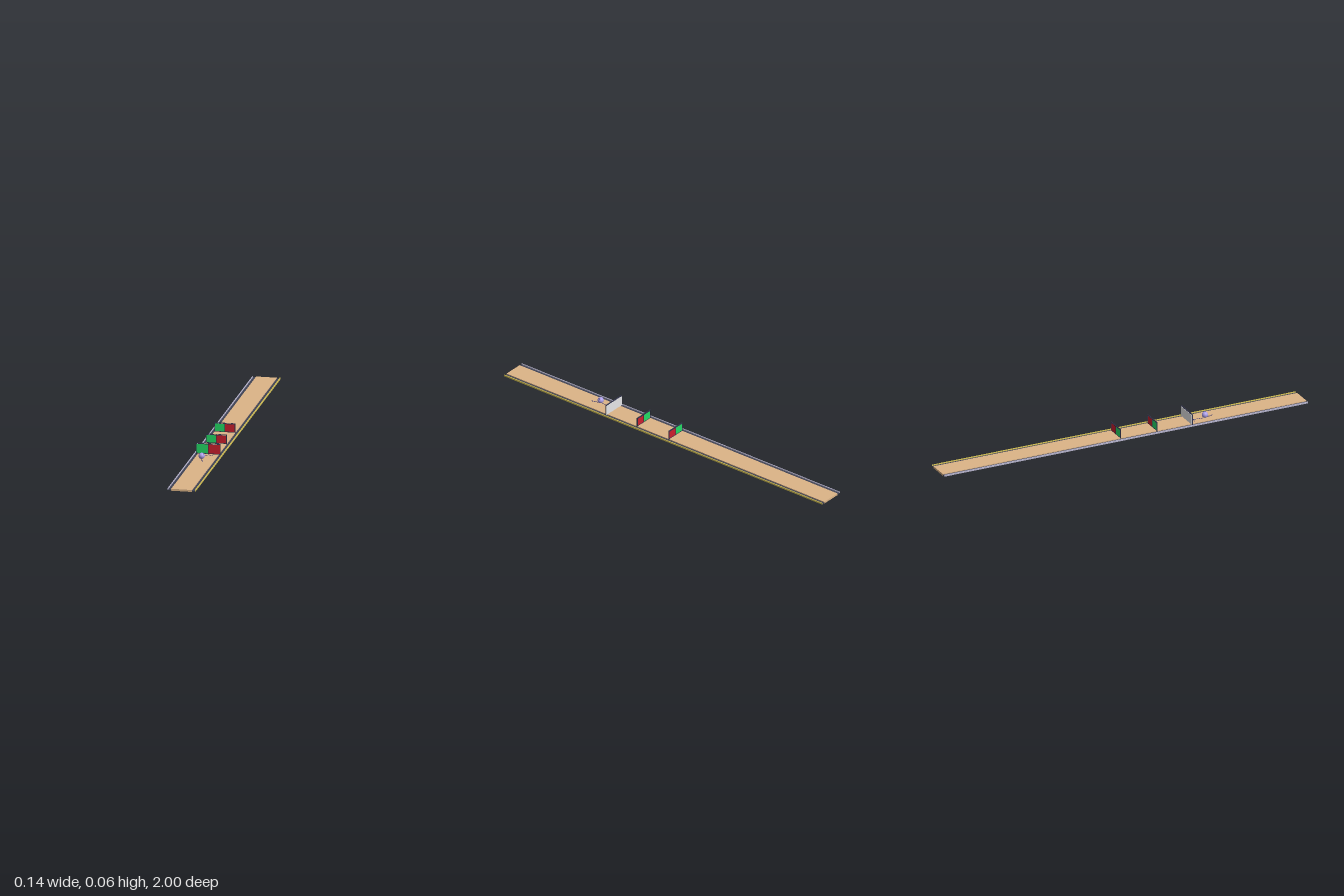
import * as THREE from 'three';

const mat = (name, color) => {
  const m = new THREE.MeshStandardMaterial({ color });
  m.name = name;
  return m;
};

export function createModel() {
  const wood = mat('wood', 0xdcb487);
  const dark = mat('dark frame', 0x30324a);
  const slate = mat('slate gutter', 0x3f4254);
  const green = mat('green panel', 0x24dc66);
  const red = mat('red panel', 0xcc1f2e);
  const white = mat('white board', 0xeeeef0);
  const violet = mat('violet ball', 0xac9fe8);
  const yellow = mat('yellow edge', 0xd8c456);
  const lilac = mat('lilac edge', 0xb9b6d0);
  const ink = mat('indigo marks', 0x3c3974);

  const model = new THREE.Group();
  model.name = 'laneWithGates';

  // Box given by its low and high corners
  const box = (parent, name, m, x0, x1, y0, y1, z0, z1) => {
    const mesh = new THREE.Mesh(new THREE.BoxGeometry(x1 - x0, y1 - y0, z1 - z0), m);
    mesh.position.set((x0 + x1) / 2, (y0 + y1) / 2, (z0 + z1) / 2);
    mesh.name = name;
    parent.add(mesh);
  };

  // Lane floor with a sunken gutter and a coloured outer lip on each side
  const floorTop = 0.01;
  box(model, 'laneFloor', wood, -0.052, 0.052, 0, floorTop, -1, 1);
  for (const s of [-1, 1]) {
    const side = new THREE.Group();
    side.name = s < 0 ? 'rightGutter' : 'leftGutter';
    const strip = (name, m, a, b, y0, y1) =>
      box(side, name, m, Math.min(s * a, s * b), Math.max(s * a, s * b), y0, y1, -1, 1);
    strip('gutterBed', slate, 0.052, 0.067, 0.002, 0.006);
    strip('outerLip', s < 0 ? lilac : yellow, 0.067, 0.071, 0.003, 0.011);
    model.add(side);
  }

  // Two-colour gates with an open slot under the top bar
  const addGate = (name, z, w, top, backed) => {
    const gate = new THREE.Group();
    gate.name = name;
    gate.position.z = z;
    const head = top - 0.006;
    const foot = floorTop + 0.003;
    const post = 0.0035;
    box(gate, 'greenPanel', green, -w + post, -0.0012, foot, head, -0.001, 0.001);
    box(gate, 'redPanel', red, 0.0012, w - post, foot, head, -0.001, 0.001);
    box(gate, 'divider', dark, -0.0012, 0.0012, floorTop, top, -0.0015, 0.0015);
    box(gate, 'lowerBar', dark, -w, w, floorTop, foot, -0.0015, 0.0015);
    box(gate, 'headBar', dark, -w, w, head, head + 0.0015, -0.0015, 0.0015);
    box(gate, 'topBar', dark, -w, w, top - 0.002, top, -0.002, 0.002);
    for (const x of [-w, w - post])
      box(gate, 'post', dark, x, x + post, floorTop - 0.004, top, -0.002, 0.002);
    if (backed) box(gate, 'backBoard', white, -w + 0.001, w - 0.001, floorTop, head + 0.0015, -0.0035, -0.002);
    model.add(gate);
  };
  addGate('frontGate', 0.368, 0.062, 0.065, true);
  addGate('middleGate', 0.178, 0.053, 0.057, false);
  addGate('rearGate', -0.022, 0.053, 0.057, false);

  // Ball with three finger holes
  const ball = new THREE.Group();
  ball.name = 'ball';
  ball.position.set(-0.014, 0.026, 0.46);
  const shell = new THREE.Mesh(new THREE.SphereGeometry(0.0155, 32, 20), violet);
  shell.name = 'ballShell';
  ball.add(shell);
  for (const [x, y, z] of [[0.7, 0.7, 0.25], [0.55, 0.85, 0.1], [0.75, 0.65, -0.1]]) {
    const dir = new THREE.Vector3(x, y, z).normalize();
    const hole = new THREE.Mesh(new THREE.CylinderGeometry(0.002, 0.002, 0.001, 12), ink);
    hole.quaternion.setFromUnitVectors(new THREE.Vector3(0, 1, 0), dir);
    hole.position.copy(dir).multiplyScalar(0.0153);
    hole.name = 'fingerHole';
    ball.add(hole);
  }
  model.add(ball);

  // Dashed path on the floor, forking towards the front gate
  const dashes = (name, pts, count) => {
    const curve = new THREE.CatmullRomCurve3(pts.map(([x, z]) => new THREE.Vector3(x, floorTop + 0.0006, z)));
    const length = curve.getLength() / count * 0.7;
    for (let i = 0; i < count; i++) {
      const u = (i + 0.5) / count;
      const t = curve.getTangentAt(u);
      const dash = new THREE.Mesh(new THREE.BoxGeometry(0.0045, 0.0012, length), ink);
      dash.position.copy(curve.getPointAt(u));
      dash.rotation.y = Math.atan2(t.x, t.z);
      dash.name = name;
      model.add(dash);
    }
  };
  dashes('pathTail', [[0, 0.508], [-0.006, 0.488], [-0.013, 0.47]], 4);
  dashes('pathStem', [[-0.014, 0.45], [-0.013, 0.425], [-0.012, 0.402]], 4);
  dashes('pathRightFork', [[-0.012, 0.402], [-0.019, 0.389], [-0.032, 0.397]], 3);
  dashes('pathLeftFork', [[-0.012, 0.402], [0.004, 0.388], [0.028, 0.392]], 5);

  return model;
}
